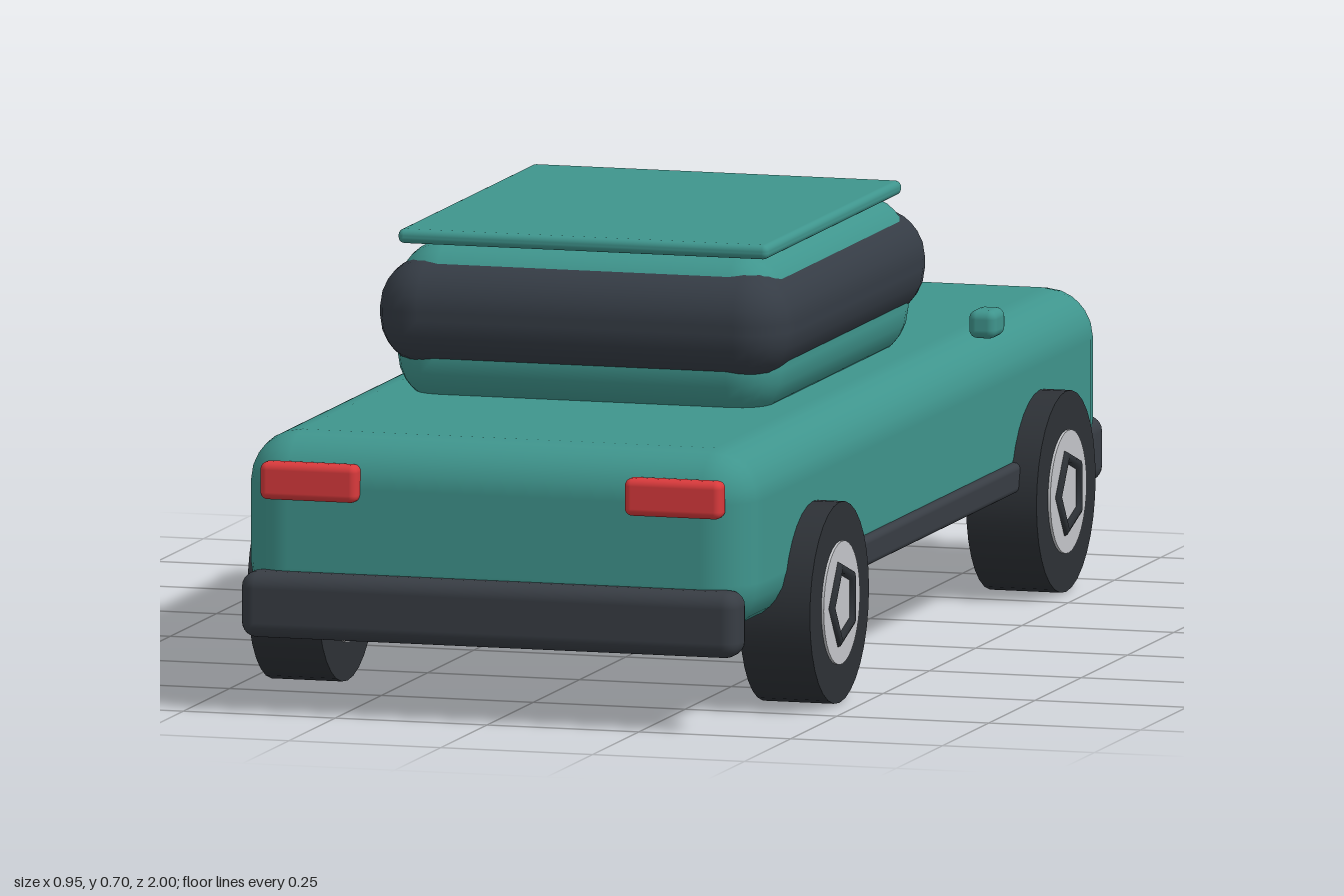
import * as THREE from 'three';
import { RoundedBoxGeometry } from 'three/addons/geometries/RoundedBoxGeometry.js';

const material = (name, color) => {
  const m = new THREE.MeshStandardMaterial({ color });
  m.name = name;
  return m;
};

export function createModel() {
  const paint = material('teal paint', 0x3f958d);
  const trim = material('dark trim', 0x383d44);
  const glass = material('dark glass', 0x353c45);
  const rubber = material('tyre rubber', 0x2d3136);
  const silver = material('silver', 0xc4c6ca);
  const red = material('tail red', 0xd93a3c);
  const cream = material('headlight cream', 0xddd5c4);

  const car = new THREE.Group();
  car.name = 'car';

  // Rounded block given by its extents on each axis
  const block = (name, mat, [x0, x1], [y0, y1], [z0, z1], radius, segments = 3) => {
    const geo = new RoundedBoxGeometry(x1 - x0, y1 - y0, z1 - z0, segments, radius);
    const mesh = new THREE.Mesh(geo, mat);
    mesh.name = name;
    mesh.position.set((x0 + x1) / 2, (y0 + y1) / 2, (z0 + z1) / 2);
    car.add(mesh);
  };

  // Body, cabin, wrap-around window band and roof
  block('body', paint, [-0.42, 0.42], [0.15, 0.44], [-0.965, 0.965], 0.08);
  block('cabin', paint, [-0.32, 0.32], [0.42, 0.68], [-0.295, 0.5], 0.08);
  block('windowBand', glass, [-0.34, 0.34], [0.483, 0.657], [-0.32, 0.53], 0.08);
  block('roof', paint, [-0.305, 0.305], [0.679, 0.702], [-0.245, 0.485], 0.01);

  // Bumpers, grille and number plate
  block('rearBumper', trim, [-0.41, 0.41], [0.12, 0.225], [0.93, 1], 0.025);
  block('frontBumper', trim, [-0.41, 0.41], [0.12, 0.225], [-1, -0.925], 0.025);
  block('grille', trim, [-0.21, 0.21], [0.262, 0.322], [-0.985, -0.95], 0.01);
  block('plate', silver, [-0.095, 0.095], [0.16, 0.22], [-0.993, -0.984], 0.003);

  for (const s of [-1, 1]) {
    const span = (a, b) => (s > 0 ? [a, b] : [-b, -a]);
    const side = s > 0 ? 'left' : 'right';

    // Lights, mirrors and sills
    block(side + 'TailLight', red, span(0.22, 0.38), [0.34, 0.4], [0.95, 0.987], 0.012);
    block(side + 'Headlight', cream, span(0.215, 0.378), [0.322, 0.382], [-0.985, -0.95], 0.012);
    block(side + 'Mirror', paint, span(0.424, 0.47), [0.46, 0.505], [-0.265, -0.203], 0.014);
    block(side + 'Sill', trim, span(0.39, 0.433), [0.178, 0.225], [-0.52, 0.52], 0.01);

    // Wheels: tyre, hub and five-sided ring on the hub face
    for (const z of [0.615, -0.61]) {
      const wheel = new THREE.Group();
      wheel.name = side + (z > 0 ? 'Rear' : 'Front') + 'Wheel';
      wheel.position.set(s * 0.405, 0.16, z);

      const tyre = new THREE.Mesh(new THREE.CylinderGeometry(0.16, 0.16, 0.116, 32), rubber);
      tyre.name = 'tyre';
      tyre.rotation.z = Math.PI / 2;

      const hub = new THREE.Mesh(new THREE.CylinderGeometry(0.098, 0.098, 0.124, 32), silver);
      hub.name = 'hub';
      hub.rotation.z = Math.PI / 2;

      const ring = new THREE.Mesh(new THREE.TorusGeometry(0.061, 0.012, 8, 5), rubber);
      ring.name = 'hubRing';
      ring.rotation.y = -Math.PI / 2;
      ring.position.x = s * 0.058;

      wheel.add(tyre, hub, ring);
      car.add(wheel);
    }
  }
  return car;
}
